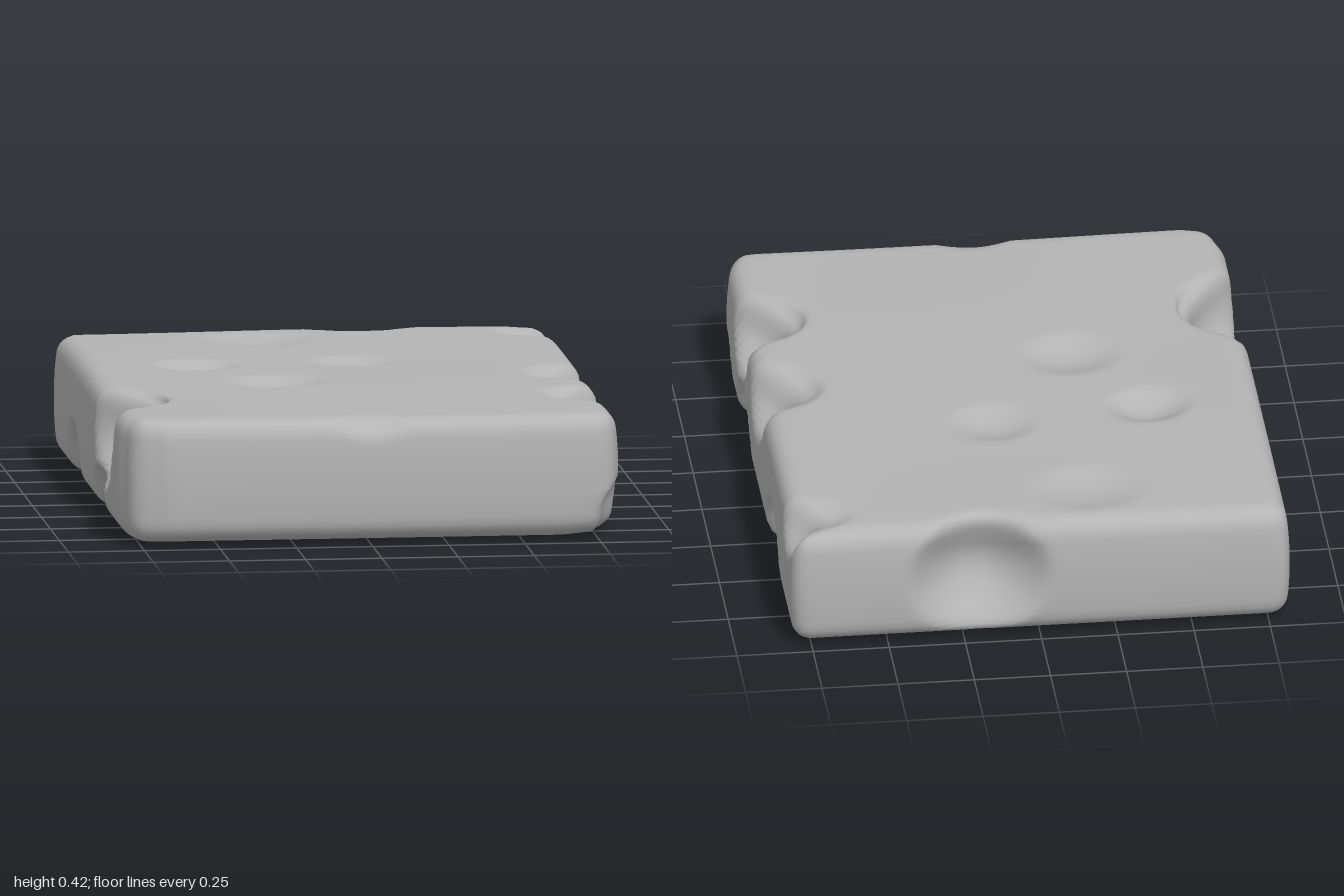
import * as THREE from 'three';
import { mergeVertices } from 'three/addons/utils/BufferGeometryUtils.js';

const W = 1.64, H = 0.42, L = 2, R = 0.06;
const v = (x, y, z) => new THREE.Vector3(x, y, z);

// A dent is a centre, ellipsoid radii and an inward push
const dent = (at, size, push) => ({ at, size, push });

// Chip in a long side: pushed inward and towards mid height
const sideChip = (side, y, z, r, depth) => dent(
  v(side * W / 2, y, z), v(0.24, r * 0.9, r), v(-side * depth, (H / 2 - y) * depth * 2.5, 0));

// Shallow hollow in the top
const topHollow = (x, z, r, depth) => dent(v(x, H, z), v(r, 0.1, r * 0.8), v(0, -depth, 0));

const dents = [
  // left side: lower chips, then upper chips
  sideChip(1, 0.05, 0.40, 0.20, 0.13),
  sideChip(1, 0.08, -0.42, 0.18, 0.13),
  sideChip(1, 0.08, 0.90, 0.14, 0.05),
  sideChip(1, 0.38, 0.50, 0.18, 0.13),
  sideChip(1, 0.40, 0.04, 0.18, 0.10),
  sideChip(1, 0.40, -0.84, 0.13, 0.07),
  // right side
  sideChip(-1, 0.34, 0.44, 0.25, 0.16),
  sideChip(-1, 0.04, 0.28, 0.16, 0.08),
  sideChip(-1, 0.04, -0.42, 0.20, 0.10),
  // top
  topHollow(-0.44, -0.22, 0.15, 0.045),
  topHollow(0.08, -0.28, 0.16, 0.03),
  topHollow(-0.22, 0.15, 0.18, 0.035),
  topHollow(-0.18, -0.76, 0.20, 0.025),
  topHollow(0, 1, 0.14, 0.025),
  // round hollow in the back and the chipped lip above it
  dent(v(0.20, 0.24, -1), v(0.24, 0.22, 0.30), v(0, 0, 0.14)),
  dent(v(0.18, H, -1), v(0.22, 0.10, 0.12), v(0, -0.02, 0.03)),
  // worn front corners
  dent(v(-0.82, 0.22, 1), v(0.16, 0.6, 0.18), v(0.03, 0, -0.03)),
  dent(v(0.82, 0.22, 1), v(0.13, 0.6, 0.13), v(-0.02, 0, -0.01)),
];

function shapeVertex(p) {
  // Round the edges of the block
  const limit = v(W / 2 - R, H / 2 - R, L / 2 - R);
  const inner = p.clone().clamp(limit.clone().negate(), limit);
  p.sub(inner).setLength(R).add(inner);
  p.y += H / 2;

  // Slightly domed underside, wavy top and tapered sides
  const edge = Math.max((p.x / 0.82) ** 4, p.z ** 4);
  p.y += 0.022 * edge * (1 - p.y / H);
  p.y += 0.005 * Math.sin(3.1 * p.x + 1) * Math.sin(4 * p.z) * (p.y / H);
  const taper = 1 - 0.018 * ((p.y - H / 2) / (H / 2)) ** 2;
  p.x *= taper;
  p.z *= taper;

  // Press in the chips and hollows
  const base = p.clone();
  for (const { at, size, push } of dents) {
    const d2 = base.clone().sub(at).divide(size).lengthSq();
    if (d2 < 1) p.addScaledVector(push, (1 - d2) ** 1.4);
  }
}

export function createModel() {
  const group = new THREE.Group();
  group.name = 'stoneSlab';
  const stone = new THREE.MeshStandardMaterial({ color: 0xb4b4b4 });
  stone.name = 'grey stone';

  // One welded block so that the normals run smoothly round the edges
  let geometry = new THREE.BoxGeometry(W, H, L, 66, 18, 80);
  geometry.deleteAttribute('normal');
  geometry.deleteAttribute('uv');
  geometry = mergeVertices(geometry, 1e-4);
  geometry.clearGroups();
  const pos = geometry.attributes.position;
  const p = v(0, 0, 0);
  for (let i = 0; i < pos.count; i++) {
    p.fromBufferAttribute(pos, i);
    shapeVertex(p);
    pos.setXYZ(i, p.x, p.y, p.z);
  }
  geometry.computeVertexNormals();

  const slab = new THREE.Mesh(geometry, stone);
  slab.name = 'slab';
  group.add(slab);
  return group;
}
